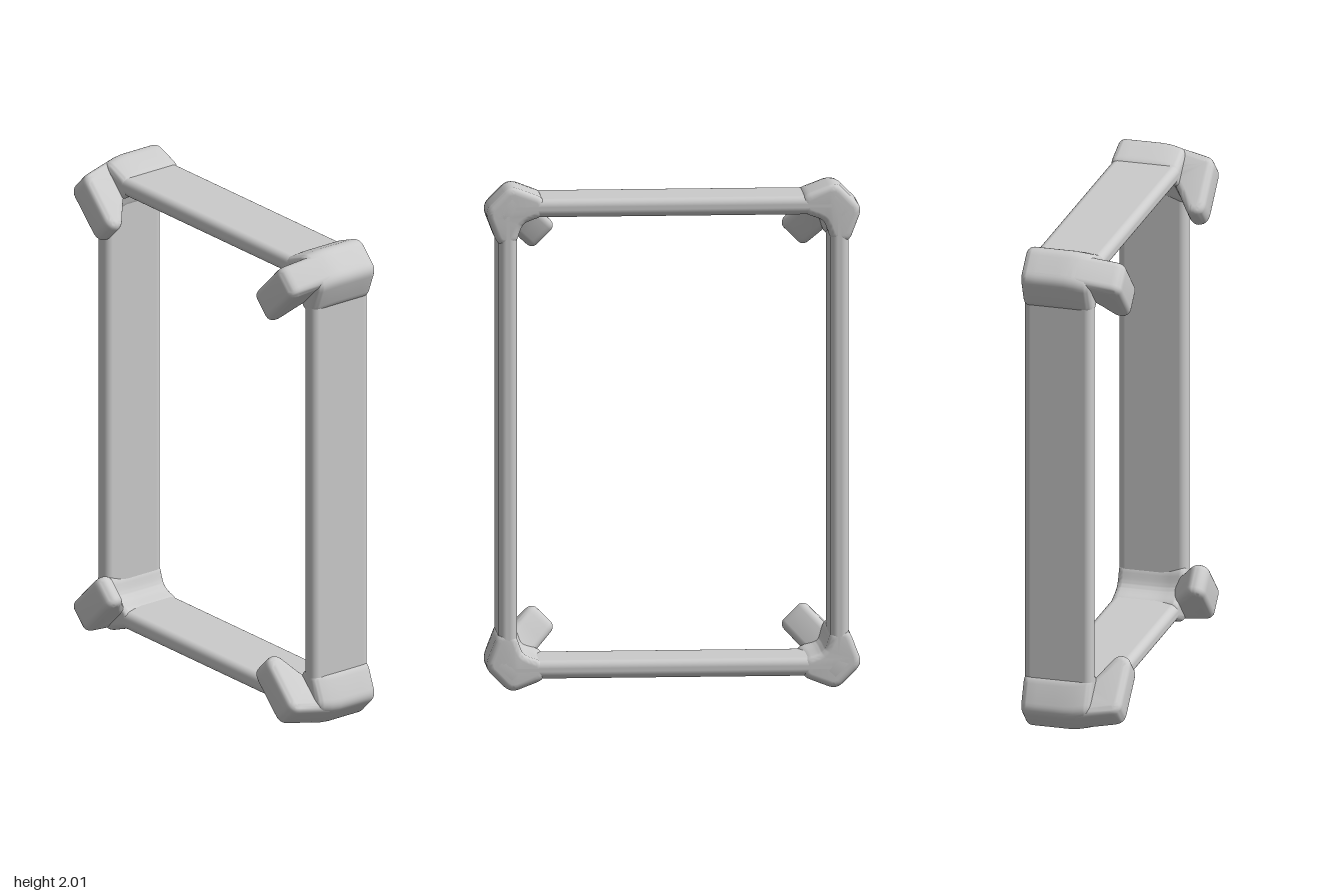
import * as THREE from 'three';
import { RoundedBoxGeometry } from 'three/addons/geometries/RoundedBoxGeometry.js';
import { toCreasedNormals } from 'three/addons/utils/BufferGeometryUtils.js';

const HALF_X = 0.655, TOP = 1.922, BOTTOM = 0.082;
const BACK = -0.2, FRONT = 0.08, THICK = 0.073;

// Closed polygon with every corner rounded off
function roundedShape(points, radius) {
  const pts = points.map(([x, y]) => new THREE.Vector2(x, y));
  const shape = new THREE.Shape();
  pts.forEach((p, i) => {
    const prev = pts[(i + pts.length - 1) % pts.length];
    const next = pts[(i + 1) % pts.length];
    const cut = (q) => p.clone().lerp(q, Math.min(0.48, radius / p.distanceTo(q)));
    const a = cut(prev), b = cut(next);
    if (i === 0) shape.moveTo(a.x, a.y);
    else shape.lineTo(a.x, a.y);
    shape.quadraticCurveTo(p.x, p.y, b.x, b.y);
  });
  shape.closePath();
  return shape;
}

// Extrusion from 0 to depth whose bevel stays inside the outline
function softExtrude(shape, depth, bevel, steps = 1) {
  return new THREE.ExtrudeGeometry(shape, {
    depth: depth - 2 * bevel, steps, curveSegments: 6,
    bevelEnabled: true, bevelThickness: bevel, bevelSize: bevel,
    bevelOffset: -bevel, bevelSegments: 5,
  }).translate(0, 0, bevel);
}

// Corner block: local +x points diagonally outward, wings reach over both bars
function blockGeometry() {
  const outline = [
    [0.057, -0.072], [0.057, 0.072], [-0.078, 0.132], [-0.125, 0.08],
    [-0.09, 0.015], [-0.09, -0.015], [-0.125, -0.08], [-0.078, -0.132],
  ];
  const geo = softExtrude(roundedShape(outline, 0.035), FRONT - BACK, 0.025, 6);
  geo.translate(0, 0, BACK);
  // the outer side leans inward towards the front
  const pos = geo.attributes.position;
  for (let i = 0; i < pos.count; i++) {
    const z = pos.getZ(i);
    if (z > 0) pos.setX(i, pos.getX(i) - 0.25 * z);
  }
  return toCreasedNormals(geo, 0.75);
}

// Claw: side profile (diagonal, z) given a width across the diagonal
function clawGeometry() {
  const profile = [
    [0.057, BACK], [0.057, 0.0], [0.012, 0.2], [-0.225, 0.2],
    [-0.243, 0.14], [-0.13, 0.07], [-0.07, 0.02], [-0.06, BACK],
  ];
  const width = 0.134;
  const geo = softExtrude(roundedShape(profile, 0.04), width, 0.028);
  geo.translate(0, 0, -width / 2).rotateX(Math.PI / 2);
  return toCreasedNormals(geo, 0.75);
}

export function createModel() {
  const model = new THREE.Group();
  model.name = 'cornerClawFrame';
  const material = new THREE.MeshStandardMaterial({ color: 0xcccccc });
  const add = (parent, name, geometry) => {
    const mesh = new THREE.Mesh(geometry, material);
    mesh.name = name;
    parent.add(mesh);
    return mesh;
  };

  // Four flat bars
  const depth = FRONT - BACK, midZ = (FRONT + BACK) / 2;
  const upright = new RoundedBoxGeometry(THICK, TOP - BOTTOM, depth, 4, 0.03);
  const crossbar = new RoundedBoxGeometry(2 * HALF_X, THICK, depth, 4, 0.03);
  for (const [name, x] of [['leftBar', HALF_X], ['rightBar', -HALF_X]])
    add(model, name, upright).position.set(x, (TOP + BOTTOM) / 2, midZ);
  for (const [name, y] of [['topBar', TOP], ['bottomBar', BOTTOM]])
    add(model, name, crossbar).position.set(0, y, midZ);

  // Four corners, each turned to face outward along its diagonal
  const block = blockGeometry(), claw = clawGeometry();
  for (const sx of [1, -1]) {
    for (const sy of [1, -1]) {
      const corner = new THREE.Group();
      corner.name = (sy > 0 ? 'top' : 'bottom') + (sx > 0 ? 'Left' : 'Right') + 'Corner';
      corner.position.set(sx * HALF_X, sy > 0 ? TOP : BOTTOM, 0);
      corner.rotation.z = Math.atan2(sy, sx);
      add(corner, 'cornerBlock', block);
      add(corner, 'claw', claw);
      model.add(corner);
    }
  }
  return model;
}
